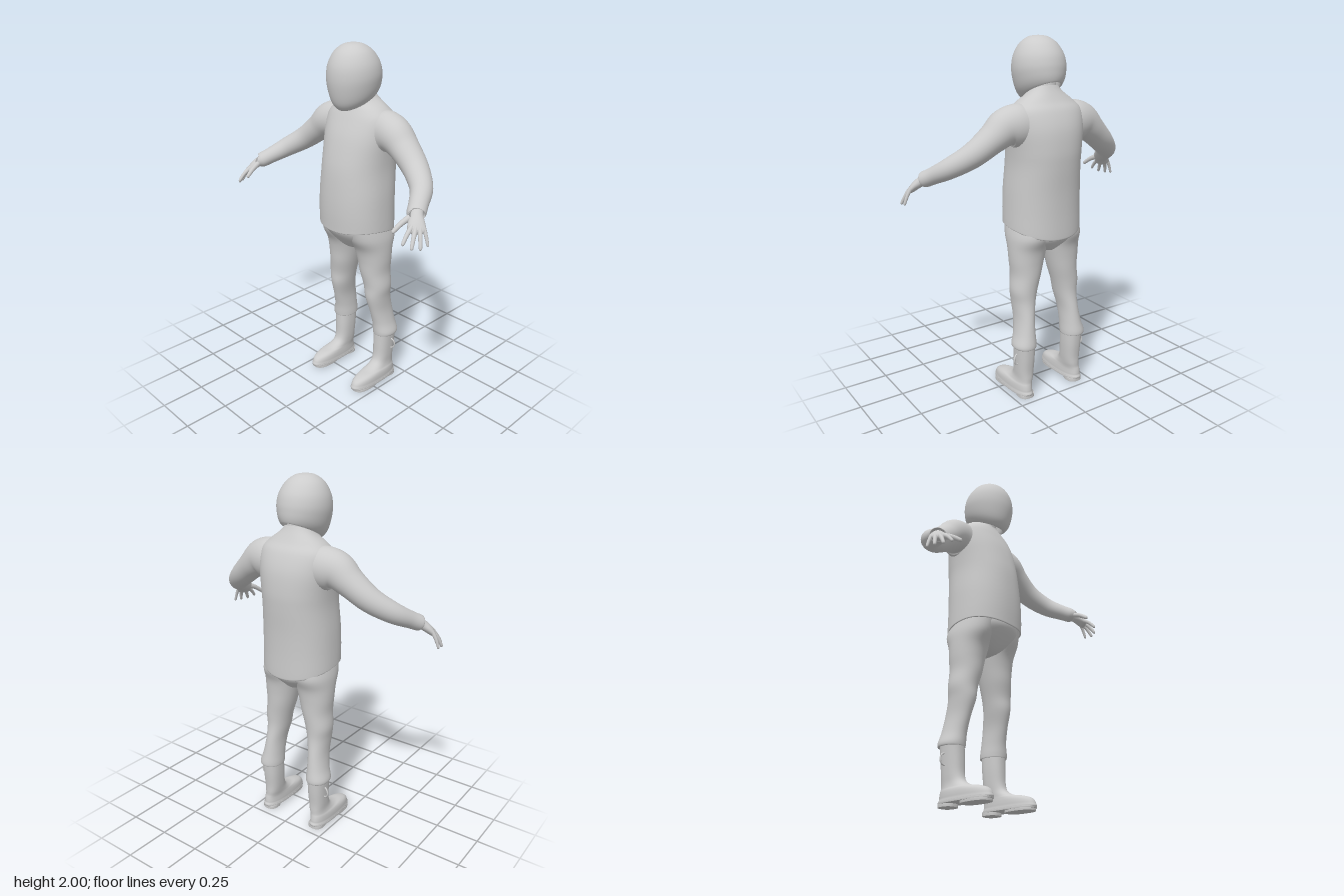
import * as THREE from 'three';

const material = new THREE.MeshStandardMaterial({ color: 0xcccccc, side: THREE.DoubleSide });

// Catmull-Rom subdivision of rows of numbers
function smooth(rows, n) {
  const out = [];
  const at = (i) => rows[Math.min(Math.max(i, 0), rows.length - 1)];
  for (let i = 0; i < rows.length - 1; i++) {
    for (let k = 0; k < n; k++) {
      const t = k / n;
      out.push(at(i).map((b, c) => {
        const a = at(i - 1)[c], d = at(i + 1)[c], e = at(i + 2)[c];
        return b + 0.5 * t * (d - a + t * (2 * a - 5 * b + 4 * d - e + t * (3 * (b - d) + e - a)));
      }));
    }
  }
  out.push(rows[rows.length - 1]);
  return out;
}

// Skin a list of closed rings
function skin(name, rings) {
  const n = rings[0].length, index = [];
  for (let i = 0; i < rings.length - 1; i++) {
    for (let j = 0; j < n; j++) {
      const a = i * n + j, b = i * n + (j + 1) % n;
      index.push(a, b, b + n, a, b + n, a + n);
    }
  }
  const g = new THREE.BufferGeometry().setFromPoints(rings.flat());
  g.setIndex(index);
  g.computeVertexNormals();
  const mesh = new THREE.Mesh(g, material);
  mesh.name = name;
  return mesh;
}

// Rings from bottom to top: [front z, front y, back z, back y, half width, centre x, side lift]
function loft(name, rows, { power = 1, steps = 5, sides = 48 } = {}) {
  const full = rows.map((r) => [...r, 0, 0].slice(0, 7));
  const pw = (v) => Math.sign(v) * Math.abs(v) ** power;
  return skin(name, smooth(full, steps).map(([zf, yf, zb, yb, w, cx, lift]) =>
    Array.from({ length: sides }, (_, j) => {
      const a = (j / sides) * Math.PI * 2, c = pw(Math.cos(a)), s = pw(Math.sin(a));
      return new THREE.Vector3(cx + w * s, (yf + yb) / 2 + (yf - yb) / 2 * c + lift * s * s,
        (zf + zb) / 2 + (zf - zb) / 2 * c);
    })));
}

// Limb along a path: [x, y, z, horizontal radius, vertical radius]
function sweep(name, rows, sides = 24, steps = 5) {
  const pts = smooth(rows, steps);
  const pos = pts.map((p) => new THREE.Vector3(p[0], p[1], p[2]));
  return skin(name, pts.map((p, i) => {
    const t = pos[Math.min(i + 1, pos.length - 1)].clone().sub(pos[Math.max(i - 1, 0)]).normalize();
    const v = new THREE.Vector3(0, 1, 0).addScaledVector(t, -t.y).normalize();
    const u = v.clone().cross(t);
    return Array.from({ length: sides }, (_, j) => {
      const a = (j / sides) * Math.PI * 2;
      return pos[i].clone().addScaledVector(u, p[3] * Math.cos(a)).addScaledVector(v, p[4] * Math.sin(a));
    });
  }));
}

function makeArm() {
  const arm = new THREE.Group();
  arm.add(sweep('sleeve', [
    [0.1, 1.545, -0.11, 0.1, 0.1], [0.18, 1.548, -0.11, 0.1, 0.115], [0.25, 1.54, -0.1, 0.094, 0.1],
    [0.325, 1.487, -0.092, 0.083, 0.078], [0.425, 1.41, -0.065, 0.07, 0.066], [0.52, 1.345, 0, 0.059, 0.056],
    [0.575, 1.297, 0.085, 0.05, 0.046], [0.603, 1.273, 0.132, 0.048, 0.043],
    [0.607, 1.27, 0.138, 0.04, 0.034], [0.6, 1.276, 0.128, 0.02, 0.02]].slice(0, 9), 32));

  // Palm and fingers
  const hand = new THREE.Group();
  hand.name = 'hand';
  hand.add(sweep('palm', [
    [0.59, 1.285, 0.115, 0.034, 0.028], [0.613, 1.264, 0.143, 0.034, 0.027], [0.634, 1.242, 0.166, 0.042, 0.024],
    [0.654, 1.216, 0.186, 0.044, 0.018], [0.662, 1.204, 0.194, 0.03, 0.01], [0.664, 1.2, 0.196, 0, 0]]));
  const fingers = [
    ['littleFinger', [0.676, 1.22, 0.158], [0.71, 1.14, 0.165], 0.009],
    ['ringFinger', [0.668, 1.217, 0.178], [0.706, 1.135, 0.215], 0.0105],
    ['middleFinger', [0.654, 1.217, 0.197], [0.681, 1.14, 0.252], 0.011],
    ['indexFinger', [0.635, 1.222, 0.21], [0.645, 1.16, 0.277], 0.0105],
    ['thumb', [0.594, 1.26, 0.165], [0.572, 1.2, 0.27], 0.0135]];
  for (const [name, a, b, r] of fingers) {
    const rows = [[-0.2, 1.1, 0], [0.15, 1.15, 0.004], [0.5, 1, 0.008], [0.85, 0.85, 0.004], [0.96, 0.6, 0], [1, 0, 0]]
      .map(([t, k, bend]) => [...a.map((v, c) => v + (b[c] - v) * t + (c === 1 ? bend : 0)), r * k, r * k]);
    hand.add(sweep(name, rows, 12, 3));
  }
  arm.add(hand);
  return arm;
}

function makeLeg() {
  const leg = new THREE.Group();
  leg.add(loft('trouserLeg', [
    [-0.08, 0.33, -0.2, 0.33, 0.045, 0.168], [-0.072, 0.305, -0.22, 0.305, 0.062, 0.168],
    [-0.068, 0.325, -0.225, 0.325, 0.066, 0.169], [-0.063, 0.385, -0.214, 0.385, 0.056, 0.161],
    [-0.043, 0.47, -0.2, 0.47, 0.051, 0.153], [-0.02, 0.56, -0.185, 0.56, 0.062, 0.145],
    [-0.018, 0.635, -0.185, 0.635, 0.075, 0.141], [-0.005, 0.72, -0.19, 0.72, 0.083, 0.125],
    [0.003, 0.8, -0.195, 0.8, 0.096, 0.118], [0.02, 0.87, -0.205, 0.87, 0.105, 0.111],
    [0.06, 0.94, -0.232, 0.94, 0.107, 0.107], [0.08, 1.01, -0.225, 1.01, 0.1, 0.1]], { power: 0.95 }));

  const boot = new THREE.Group();
  boot.name = 'boot';
  boot.add(loft('bootUpper', [
    [-0.03, 0.018, -0.05, 0.018, 0, 0.172], [0.12, 0.018, -0.203, 0.018, 0.052, 0.173],
    [0.128, 0.042, -0.208, 0.04, 0.055, 0.173], [0.108, 0.068, -0.206, 0.06, 0.054, 0.173],
    [0.06, 0.085, -0.203, 0.075, 0.051, 0.172], [0, 0.096, -0.2, 0.09, 0.047, 0.169],
    [-0.05, 0.12, -0.2, 0.115, 0.046, 0.166], [-0.07, 0.16, -0.2, 0.16, 0.049, 0.165],
    [-0.075, 0.24, -0.207, 0.24, 0.053, 0.165], [-0.078, 0.32, -0.211, 0.32, 0.055, 0.167]], { power: 0.85 }));
  // Welt, forefoot tread and heel as flat slabs
  const slab = (name, zf, zb, w, y0, y1, cx) => {
    const ring = (y, k) => {
      const m = (zf + zb) / 2, h = (zf - zb) / 2 * k;
      return [m + h, y, m - h, y, w * k, cx];
    };
    boot.add(loft(name, [ring(y0, 0), ring(y0, 0.97), ring(y0, 1), ring(y1, 1), ring(y1, 0.97), ring(y1, 0)],
      { power: 0.8, steps: 1 }));
  };
  slab('welt', 0.131, -0.213, 0.058, 0.016, 0.027, 0.173);
  slab('foreSole', 0.122, -0.06, 0.053, 0.004, 0.018, 0.174);
  slab('heel', -0.11, -0.21, 0.046, 0, 0.018, 0.171);

  // Pull loop on the outside of the boot
  const loop = new THREE.Mesh(new THREE.TorusGeometry(0.03, 0.005, 8, 28), material);
  loop.name = 'bootLoop';
  loop.scale.x = 0.8;
  loop.position.set(0.217, 0.237, -0.15);
  loop.rotation.y = 0.25;
  boot.add(loop);
  leg.add(boot);
  return leg;
}

export function createModel() {
  const model = new THREE.Group();
  model.name = 'figure';

  // Helmet with a turned-in rim, tilted up toward the back
  model.add(loft('helmet', [
    [-0.07, 1.82, -0.07, 1.82, 0], [0.02, 1.76, -0.16, 1.82, 0.08], [0.042, 1.672, -0.185, 1.775, 0.09],
    [0.054, 1.658, -0.194, 1.768, 0.099], [0.082, 1.69, -0.2, 1.79, 0.121], [0.1, 1.75, -0.201, 1.82, 0.136],
    [0.108, 1.82, -0.197, 1.86, 0.143], [0.099, 1.89, -0.18, 1.91, 0.133], [0.067, 1.952, -0.142, 1.96, 0.102],
    [0.022, 1.988, -0.098, 1.989, 0.06], [-0.012, 1.998, -0.066, 1.998, 0.027], [-0.039, 2, -0.039, 2, 0]]));
  model.add(loft('neck', [
    [-0.01, 1.66, -0.17, 1.68, 0.085], [-0.005, 1.72, -0.15, 1.76, 0.072], [0, 1.82, -0.14, 1.84, 0.07]]));

  // Jumper body with a hem that dips at the back
  model.add(loft('jumper', [
    [0.1, 1.04, -0.24, 1.0, 0.195, 0, 0.02], [0.114, 0.995, -0.257, 0.94, 0.208, 0, 0.03],
    [0.122, 0.99, -0.264, 0.935, 0.215, 0, 0.032], [0.124, 1.01, -0.266, 0.96, 0.216, 0, 0.025],
    [0.127, 1.1, -0.266, 1.08, 0.214], [0.125, 1.2, -0.27, 1.2, 0.21], [0.116, 1.32, -0.28, 1.33, 0.202],
    [0.1, 1.41, -0.283, 1.42, 0.205], [0.07, 1.52, -0.272, 1.53, 0.215], [0.032, 1.61, -0.24, 1.62, 0.21],
    [0.008, 1.66, -0.205, 1.67, 0.165], [-0.006, 1.69, -0.175, 1.72, 0.105], [-0.01, 1.715, -0.16, 1.75, 0.078]],
  { power: 0.9, sides: 64 }));
  model.add(loft('trouserSeat', [
    [-0.06, 0.84, -0.12, 0.84, 0], [-0.02, 0.85, -0.17, 0.85, 0.035], [0.02, 0.875, -0.205, 0.88, 0.1],
    [0.07, 0.93, -0.237, 0.92, 0.18], [0.105, 0.985, -0.248, 0.965, 0.2], [0.105, 1.04, -0.245, 1.03, 0.195]]));

  // Mirrored limbs
  for (const [side, s] of [['left', 1], ['right', -1]]) {
    const arm = makeArm(), leg = makeLeg();
    arm.name = side + 'Arm';
    leg.name = side + 'Leg';
    arm.scale.x = leg.scale.x = s;
    model.add(arm, leg);
  }
  return model;
}
